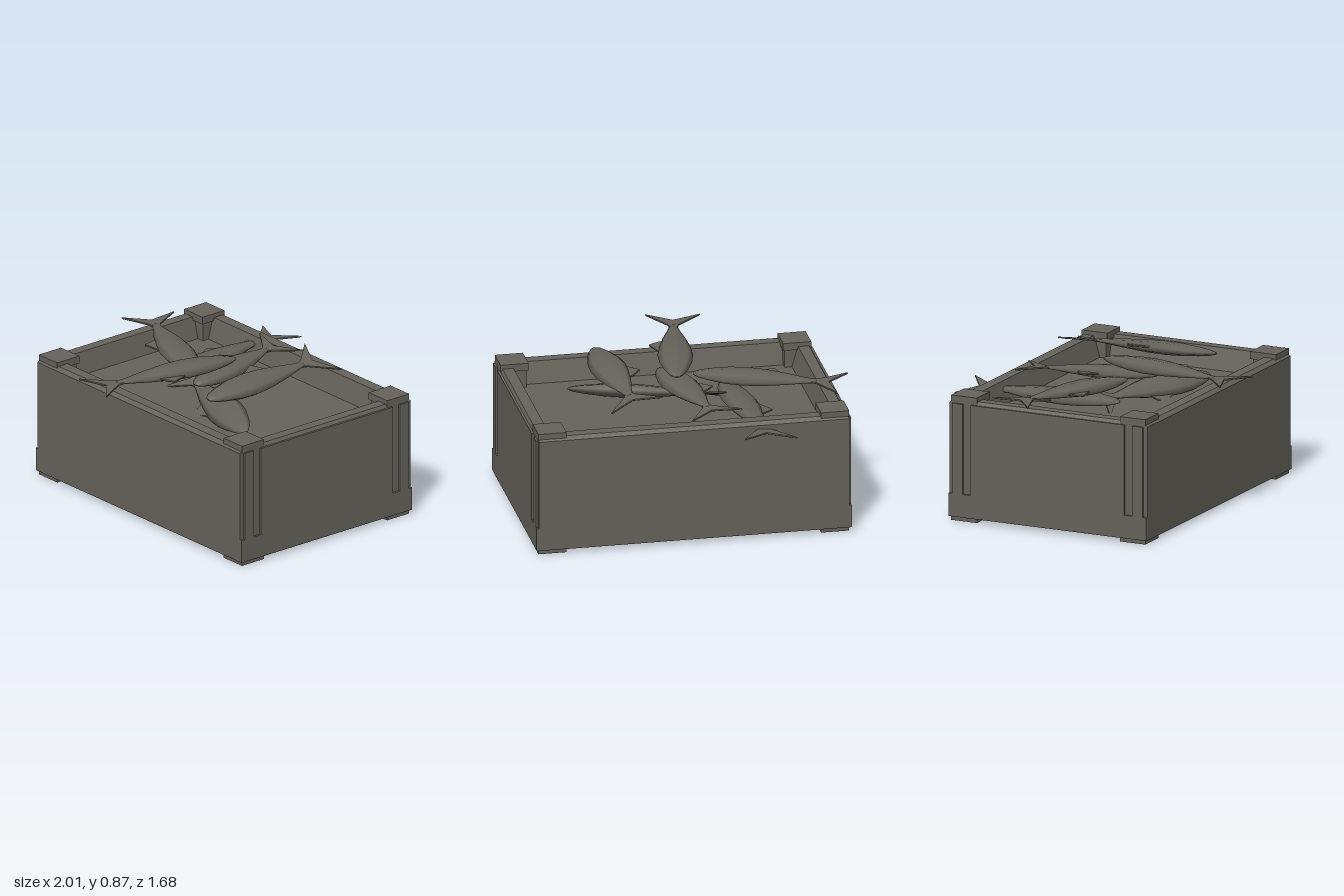
import * as THREE from 'three';

export function createModel() {
  const model = new THREE.Group();
  const material = (name, color) => {
    const m = new THREE.MeshStandardMaterial({ color, side: THREE.DoubleSide });
    m.name = name;
    return m;
  };
  const grey = material('weathered grey', 0x65625a);
  const dark = material('dark underside', 0x33332a);

  const add = (parent, name, geometry, x = 0, y = 0, z = 0, mat = grey) => {
    const mesh = new THREE.Mesh(geometry, mat);
    mesh.name = name;
    mesh.position.set(x, y, z);
    parent.add(mesh);
    return mesh;
  };
  const box = (parent, name, w, h, d, x, y, z, mat) =>
    add(parent, name, new THREE.BoxGeometry(w, h, d), x, y, z, mat);

  // Loft through rectangular rings [halfX, halfZ, y], flat shaded
  function rectLoft(rings) {
    const pos = [];
    const corners = ([hx, hz, y]) => [[hx, y, hz], [hx, y, -hz], [-hx, y, -hz], [-hx, y, hz]];
    for (let i = 0; i < rings.length - 1; i++) {
      const lo = corners(rings[i]), up = corners(rings[i + 1]);
      for (let k = 0; k < 4; k++) {
        const n = (k + 1) % 4;
        pos.push(...lo[k], ...lo[n], ...up[n], ...lo[k], ...up[n], ...up[k]);
      }
    }
    const g = new THREE.BufferGeometry();
    g.setAttribute('position', new THREE.Float32BufferAttribute(pos, 3));
    g.computeVertexNormals();
    return g;
  }

  // Crate, turned slightly
  const crate = new THREE.Group();
  crate.name = 'crate';
  crate.position.set(0.024, 0, -0.053);
  crate.rotation.y = 0.049;
  model.add(crate);

  // Walls with chamfered rim, steep inside and floor
  add(crate, 'crateWalls', rectLoft([
    [0.927, 0.649, 0.027], [0.927, 0.649, 0.71], [0.915, 0.626, 0.73],
    [0.85, 0.558, 0.73], [0.815, 0.523, 0.6], [0, 0, 0.6],
  ]));
  box(crate, 'crateBottom', 1.88, 0.003, 1.298, 0, 0.0265, 0, dark);

  for (const sx of [-1, 1]) {
    // Raised end boards, leaving grooves beside the corner strips
    box(crate, 'endBase', 0.014, 0.137, 1.298, sx * 0.934, 0.0965, 0);
    box(crate, 'endPanel', 0.014, 0.545, 1.006, sx * 0.934, 0.4375, 0);
    for (const sz of [-1, 1]) {
      box(crate, 'cornerStrip', 0.014, 0.545, 0.068, sx * 0.934, 0.4375, sz * 0.591);
      box(crate, 'cornerPost', 0.14, 0.13, 0.14, sx * 0.84, 0.655, sz * 0.551);
      box(crate, 'cornerCap', 0.168, 0.045, 0.168, sx * 0.844, 0.7325, sz * 0.553);
      box(crate, 'foot', 0.168, 0.026, 0.168, sx * 0.844, 0.015, sz * 0.553);
      box(crate, 'footSole', 0.168, 0.002, 0.168, sx * 0.844, 0.001, sz * 0.553, dark);
    }
  }

  // Fish lying on its side, head towards its own +z
  const profile = [[0, 0], [0.022, 0], [0.035, 0.07], [0.068, 0.2], [0.095, 0.34], [0.104, 0.46],
    [0.096, 0.57], [0.07, 0.68], [0.045, 0.75], [0.02, 0.787], [0, 0.79]];
  const bodyGeometry = new THREE.LatheGeometry(profile.map(([r, y]) => new THREE.Vector2(r, y)), 8);
  bodyGeometry.rotateX(Math.PI / 2).scale(1, 0.4, 1);

  // Thin outline in the x, z plane, with a dark lower face
  function plate(points) {
    const shape = new THREE.Shape(points.map(([x, z]) => new THREE.Vector2(x, -z)));
    const top = new THREE.ExtrudeGeometry(shape, { depth: 0.008, bevelEnabled: false });
    top.translate(0, 0, -0.004).rotateX(-Math.PI / 2);
    const under = new THREE.ShapeGeometry(shape).rotateX(-Math.PI / 2).translate(0, -0.0055, 0);
    return { top, under };
  }
  const tailPlate = plate([[0.022, 0.03], [0.032, -0.01], [0.16, -0.17], [0, -0.08],
    [-0.16, -0.17], [-0.032, -0.01], [-0.022, 0.03]]);
  const finPlate = plate([[-0.06, 0.24], [-0.1, 0.26], [-0.15, 0.3], [-0.07, 0.45]]);

  // Tail root, nose, roll
  const fishes = [
    { tail: [-0.81, 0.765, -0.18], nose: [-0.12, 0.76, 0.07], roll: 0 },
    { tail: [-0.42, 0.682, -0.66], nose: [-0.31, 0.67, 0.135], roll: 0.08 },
    { tail: [-0.12, 0.762, -0.47], nose: [0.06, 0.757, 0.18], roll: -0.08 },
    { tail: [-0.09, 0.833, 0.64], nose: [0.01, 0.83, -0.145], roll: 0 },
    { tail: [0.33, 0.833, -0.4], nose: [0.425, 0.828, 0.365], roll: -0.22 },
    { tail: [-0.16, 0.655, 0.01], nose: [0.6, 0.645, 0.22], roll: 0.45 },
  ];
  for (const { tail, nose, roll } of fishes) {
    const fish = new THREE.Group();
    fish.name = 'fish';
    const start = new THREE.Vector3(...tail);
    const d = new THREE.Vector3(...nose).sub(start);
    fish.position.copy(start);
    fish.rotation.set(-Math.asin(d.y / d.length()), Math.atan2(d.x, d.z), roll, 'YXZ');
    fish.scale.z = d.length() / 0.79;
    add(fish, 'fishBody', bodyGeometry);
    for (const [name, { top, under }] of [['fishTail', tailPlate], ['backFin', finPlate]]) {
      add(fish, name, top);
      add(fish, name + 'Underside', under, 0, 0, 0, dark);
    }
    model.add(fish);
  }
  return model;
}
